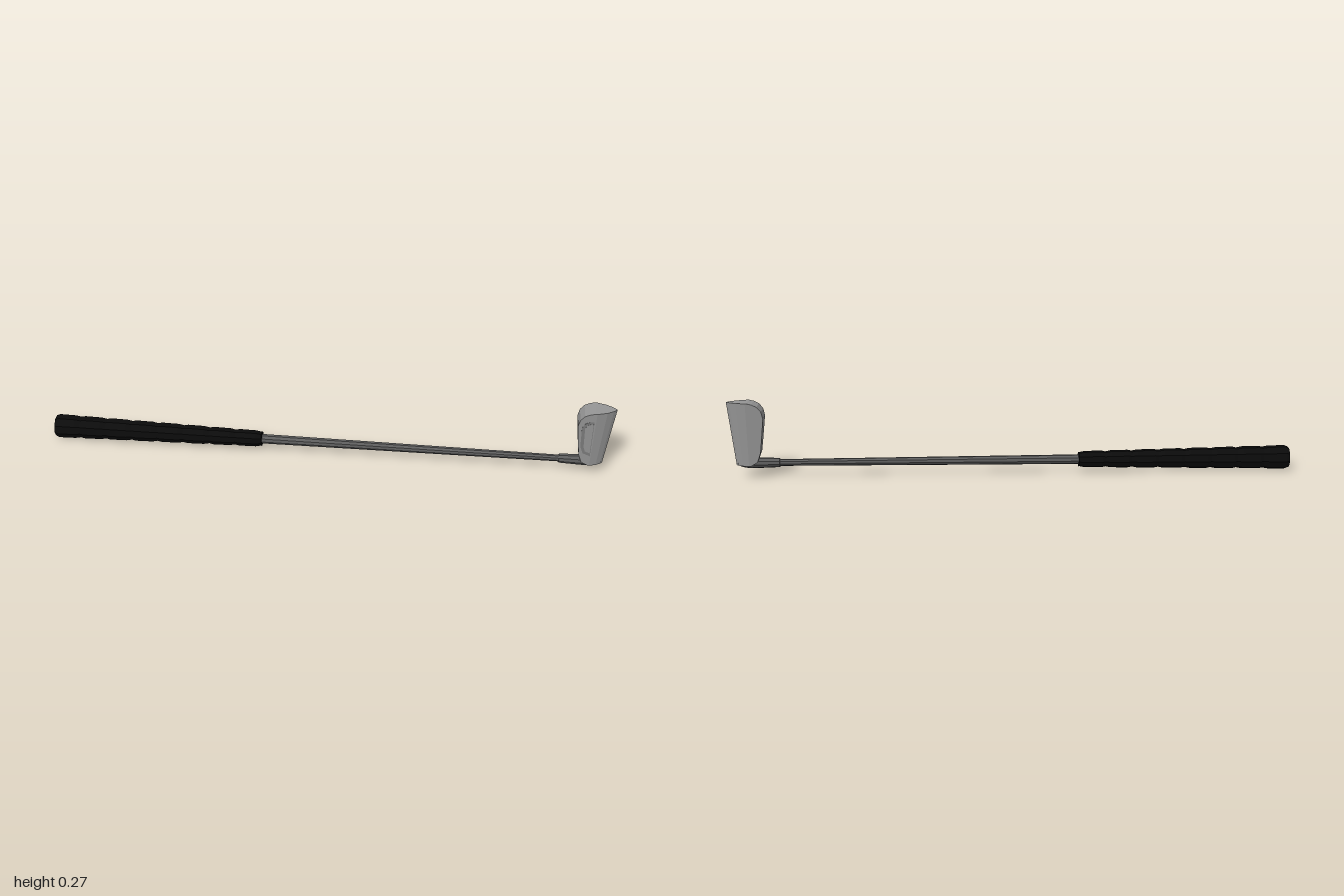
import * as THREE from 'three';

const paint = (name, color) => {
  const m = new THREE.MeshStandardMaterial({ color, flatShading: true });
  m.name = name;
  return m;
};

export function createModel() {
  const steel = paint('head steel', 0x969696);
  const recessGrey = paint('recess grey', 0x7c7c7c);
  const shaftGrey = paint('shaft grey', 0x5c5c5c);
  const rubber = paint('grip rubber', 0x0b0b0b);

  const club = new THREE.Group();
  club.name = 'golfClub';
  const add = (name, geometry, material, parent = club) => {
    const mesh = new THREE.Mesh(geometry, material);
    mesh.name = name;
    parent.add(mesh);
    return mesh;
  };

  // Handle parts turn around one axis that rises slightly towards the head
  const handle = new THREE.Group();
  handle.name = 'handle';
  handle.position.set(0, 0.0465, 0);
  handle.rotation.z = 0.0032;
  club.add(handle);
  // profile: [x, radius] pairs from the grip end to the head
  const turned = (name, profile, sides, material) => {
    const pts = profile.map(([x, r]) => new THREE.Vector2(r, x));
    const g = new THREE.LatheGeometry(pts, sides, Math.PI / 2);
    g.rotateZ(-Math.PI / 2);
    return add(name, g, material, handle);
  };

  // Grip: a tapered row of bulging bands with narrow grooves
  const bands = 8, start = -1, length = 0.76, step = length / bands;
  const grip = [[start, 0], [start, 0.038]];
  for (let i = 0; i < bands; i++) {
    const x = start + i * step, r = 0.043 - i * 0.0018;
    grip.push([x + 0.012, r], [x + step - 0.022, r - 0.001], [x + step - 0.002, r - 0.005]);
  }
  grip.push([start + length, 0.027], [start + length, 0]);
  turned('grip', grip, 9, rubber);

  // Shaft with a slight taper
  turned('shaft', [[-0.26, 0.0175], [0.15, 0.0155], [0.55, 0.0135], [0.84, 0.012]], 9, shaftGrey);

  // Hosel sleeve closing in a rounded heel under the head
  turned('hosel', [[0.82, 0], [0.82, 0.0165], [0.88, 0.0185], [0.925, 0.0195],
    [0.95, 0.015], [0.966, 0.008], [0.972, 0]], 9, shaftGrey);

  // Head: level cross-sections, flat on one edge and pointed on the other
  const levels = [ // [y, x of the blunt edge]
    [0.042, 0.92], [0.056, 0.896], [0.09, 0.884], [0.14, 0.878],
    [0.215, 0.87], [0.24, 0.876], [0.257, 0.89], [0.266, 0.908], [0.27, 0.925],
  ];
  const halfWidth = (y) => 0.024 + (y - 0.042) * 0.057;
  const pos = [], index = [];
  for (const [y, x0] of levels) {
    const t = (y - 0.042) / 0.228, w = halfWidth(y);
    const tip = 0.972 + 0.028 * t;
    const shoulder = Math.max(x0 + 0.003, tip - 0.046 - 0.024 * t);
    const d = tip - shoulder;
    const side = [[x0, w], [shoulder, w], [shoulder + d * 0.5, w * 0.7], [shoulder + d * 0.82, w * 0.33]];
    const ring = [...side, [tip, 0], ...side.map(([x, z]) => [x, -z]).reverse()];
    for (const [x, z] of ring) pos.push(x, y, z);
  }
  const n = 9, last = (levels.length - 1) * n;
  for (let i = 0; i < levels.length - 1; i++) {
    for (let j = 0; j < n; j++) {
      const a = i * n + j, b = i * n + (j + 1) % n;
      index.push(a, b, b + n, a, b + n, a + n);
    }
  }
  for (let j = 1; j < n - 1; j++) {
    index.push(0, j + 1, j, last, last + j, last + j + 1);
  }
  const head = new THREE.BufferGeometry();
  head.setAttribute('position', new THREE.Float32BufferAttribute(pos, 3));
  head.setIndex(index);
  head.computeVertexNormals();
  add('head', head, steel);

  // Recess on the front of the head: a thin D-shaped border and floor
  const dPlate = (name, x0, x1, y0, y1, lift, material) => {
    const c = (x1 - x0) * 0.7, base = 0.16;
    const shape = new THREE.Shape([
      [x1, y0], [x1, y1], [x0 + c, y1], [x0 + c * 0.35, y1 - c * 0.3], [x0, y1 - c],
      [x0 + 0.003, y0 + c * 1.4], [x0 + c * 0.5, y0 + c * 0.4],
    ].map(([x, y]) => new THREE.Vector2(x, y - base)).reverse());
    const g = new THREE.ExtrudeGeometry(shape, { depth: 0.0015, bevelEnabled: false });
    const mesh = add(name, g, material);
    mesh.position.set(0, base, halfWidth(base) + lift);
    mesh.rotation.x = Math.atan(0.057);
  };
  dPlate('recessBorder', 0.884, 0.924, 0.085, 0.235, -0.0008, recessGrey);
  dPlate('recessFloor', 0.895, 0.922, 0.098, 0.226, -0.0002, steel);

  return club;
}
